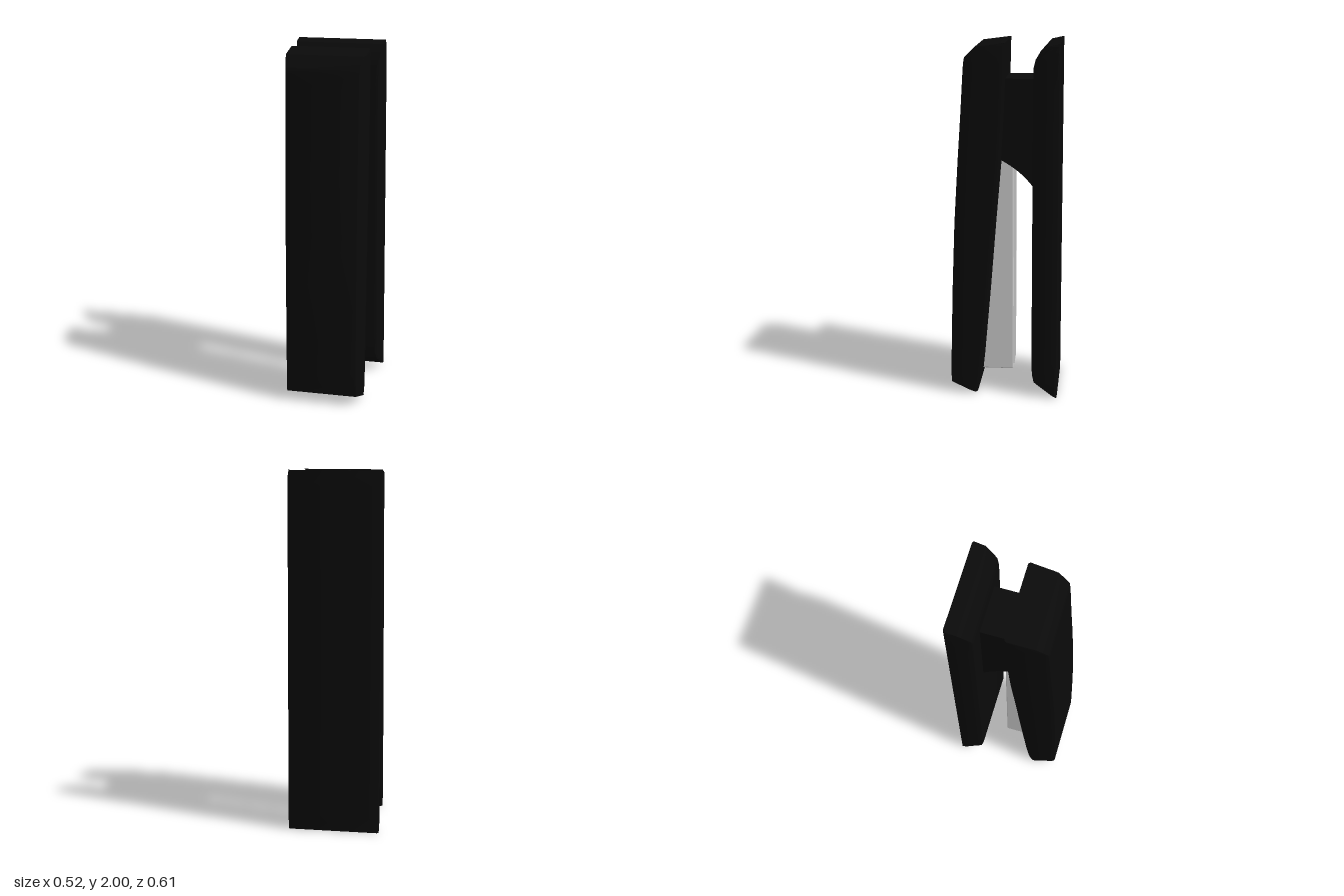
import * as THREE from 'three';
import { toCreasedNormals } from 'three/addons/utils/BufferGeometryUtils.js';

const black = new THREE.MeshStandardMaterial({ color: 0x0a0a0a });
const grey = new THREE.MeshStandardMaterial({ color: 0xcccccc });

// Half width at a fraction t of the full depth, from [t, halfWidth] pairs
function widthAt(profile, t) {
  for (let i = 1; i < profile.length; i++) {
    const [t0, w0] = profile[i - 1], [t1, w1] = profile[i];
    if (t <= t1) return w0 + (w1 - w0) * Math.max(0, (t - t0) / (t1 - t0));
  }
  return profile[profile.length - 1][1];
}

// Lofts a rounded bar upwards; stations are [y, back z, front z, untrimmed front z]
function loftBar(stations, profile) {
  const pos = [], idx = [], n = profile.length * 2;
  for (const [y, back, front, full] of stations) {
    const side = profile.map(([t]) => {
      const z = back + (front - back) * t;
      return [widthAt(profile, (z - back) / (full - back)), z];
    });
    side.forEach(([x, z]) => pos.push(x, y, z));
    side.reverse().forEach(([x, z]) => pos.push(-x, y, z));
  }
  for (let i = 0; i < stations.length - 1; i++) {
    for (let j = 0; j < n; j++) {
      const a = i * n + j, b = i * n + (j + 1) % n;
      idx.push(a, a + n, b, b, a + n, b + n);
    }
  }
  // End caps
  const top = (stations.length - 1) * n;
  for (let j = 1; j < n - 1; j++) {
    idx.push(0, j, j + 1, top, top + j + 1, top + j);
  }
  const geo = new THREE.BufferGeometry();
  geo.setAttribute('position', new THREE.Float32BufferAttribute(pos, 3));
  geo.setIndex(idx);
  return toCreasedNormals(geo, 0.6);
}

// Extrudes a side outline drawn in (z, y) across the width
function sideExtrude(shape, width, bevel = 0) {
  const geo = new THREE.ExtrudeGeometry(shape, {
    depth: width - 2 * bevel, bevelEnabled: bevel > 0, bevelSize: bevel,
    bevelThickness: bevel, bevelOffset: -bevel, bevelSegments: 2, curveSegments: 12,
  });
  geo.translate(0, 0, -width / 2 + bevel);
  geo.rotateY(-Math.PI / 2);
  return geo;
}

export function createModel() {
  const group = new THREE.Group();
  const add = (name, geo, mat, x = 0, y = 0, z = 0) => {
    const mesh = new THREE.Mesh(geo, mat);
    mesh.name = name;
    mesh.position.set(x, y - 1, z);
    group.add(mesh);
  };

  // Base plate: flat back, sloped ends
  const b = -0.304, f = -0.158;
  add('base', loftBar([
    [0.001, b, -0.299, f], [0.015, b, -0.275, f], [0.085, b, -0.172, f], [0.13, b, -0.161, f],
    [0.25, b, f, f], [1.75, b, f, f],
    [1.87, b, -0.161, f], [1.915, b, -0.172, f], [1.985, b, -0.235, f], [1.999, b, -0.299, f],
  ], [[0, 0.244], [0.03, 0.253], [0.08, 0.257], [0.5, 0.251], [0.88, 0.238], [0.96, 0.231], [1, 0.218]]), black);

  // Upper arm: leans away from the base towards its lower end
  add('arm', loftBar([
    [0.01, 0.152, 0.165, 0.303], [0.02, 0.147, 0.195, 0.303], [0.06, 0.138, 0.301, 0.304],
    [0.1, 0.131, 0.304, 0.304], [0.2, 0.12, 0.303, 0.303], [0.6, 0.085, 0.293, 0.293],
    [1.0, 0.053, 0.278, 0.278], [1.35, 0.023, 0.257, 0.257], [1.6, 0.008, 0.24, 0.24],
    [1.8, 0.0, 0.228, 0.228], [1.89, -0.002, 0.222, 0.222], [1.92, -0.003, 0.215, 0.221],
    [1.98, -0.004, 0.155, 0.219], [1.999, -0.004, 0.008, 0.217],
  ], [[0, 0.21], [0.03, 0.218], [0.09, 0.222], [0.5, 0.219], [0.8, 0.211], [0.95, 0.203], [0.985, 0.199], [1, 0.192]]), black);

  // Hinge block with a curved lower edge
  const hinge = new THREE.Shape();
  hinge.moveTo(0.06, 1.8);
  hinge.lineTo(-0.19, 1.8);
  hinge.lineTo(-0.19, 1.16);
  hinge.lineTo(-0.155, 1.2);
  hinge.quadraticCurveTo(-0.09, 1.29, 0.025, 1.35);
  hinge.lineTo(0.06, 1.37);
  hinge.closePath();
  add('hinge', sideExtrude(hinge, 0.262), black);

  // Magazine: tapered metal channel below the arm
  const channel = new THREE.Shape();
  channel.moveTo(0.16, 0.105);
  channel.lineTo(0.16, 0.4);
  channel.lineTo(0.06, 1.5);
  channel.lineTo(-0.044, 1.5);
  channel.lineTo(-0.044, 0.115);
  channel.quadraticCurveTo(-0.044, 0.105, -0.034, 0.105);
  channel.closePath();
  add('magazine', sideExtrude(channel, 0.175, 0.006), grey);

  // Folded tabs and rail at the magazine's outlet
  for (const s of [-1, 1]) {
    add('magazineTab', new THREE.BoxGeometry(0.03, 0.012, 0.1), grey, s * 0.05, 0.106, 0.02);
    add('magazineRail', new THREE.BoxGeometry(0.012, 1.2, 0.008), grey, s * 0.06, 0.73, -0.044);
  }

  // The whole piece stands with a very slight sideways tilt
  group.rotation.z = 0.005;
  group.position.y = 1;
  const model = new THREE.Group();
  model.name = 'stapler';
  model.add(group);
  return model;
}
